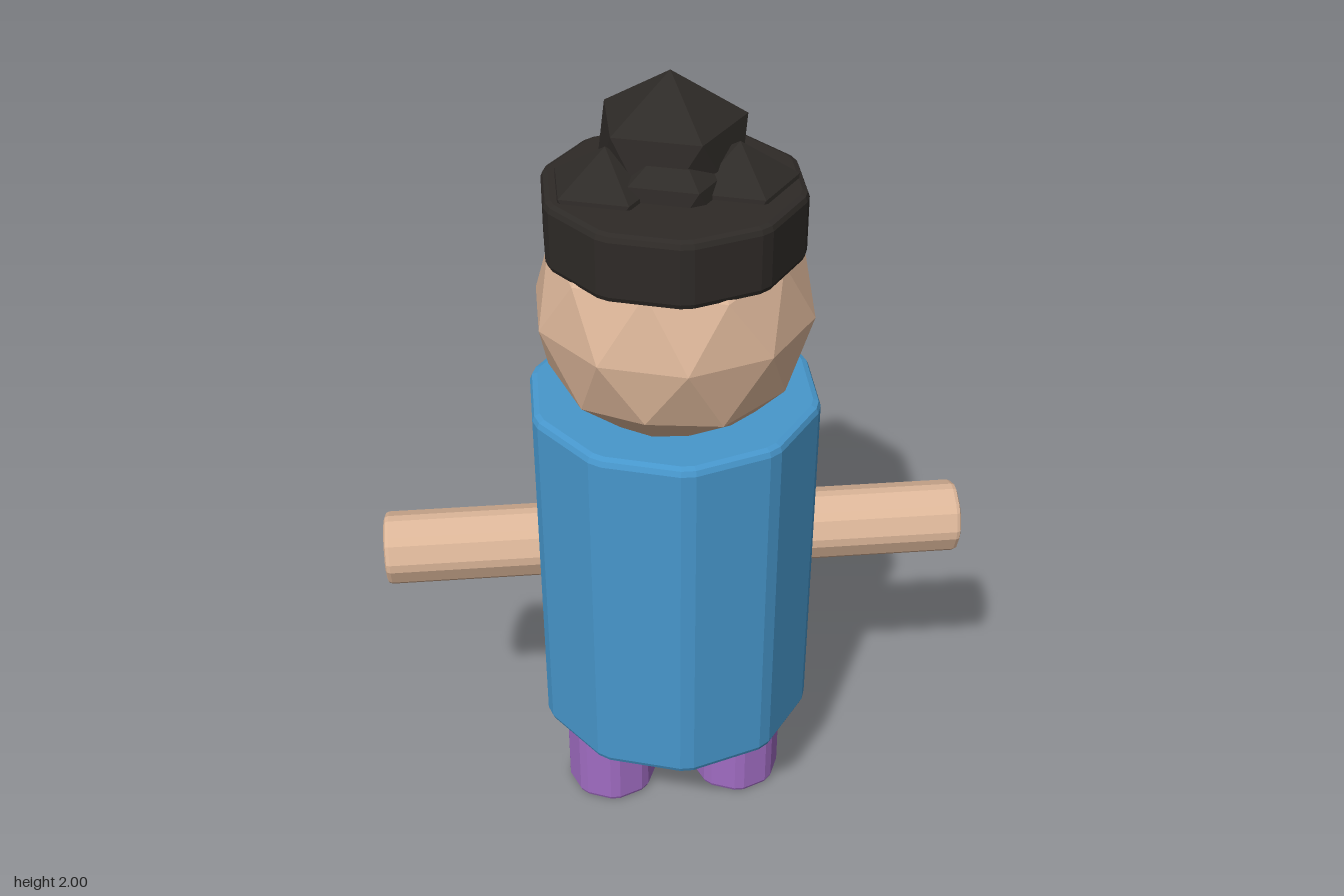
import * as THREE from 'three';

const SKIN = 0xdcb699, SHIRT = 0x4797cc, TROUSERS = 0xa06cc2, HAIR = 0x2e2a27;

function part(name, geometry, color, x = 0, y = 0, z = 0) {
  const mesh = new THREE.Mesh(geometry, new THREE.MeshStandardMaterial({ color, flatShading: true }));
  mesh.name = name;
  mesh.position.set(x, y, z);
  return mesh;
}

// Upright prism with bevelled rims and chamfered corners, standing on y = 0
function prism(sides, r, height, bevel) {
  const corner = (i) => {
    const a = (i / sides) * Math.PI * 2;
    return new THREE.Vector2(Math.sin(a) * r, Math.cos(a) * r);
  };
  const t = bevel / (2 * r * Math.sin(Math.PI / sides));
  const points = [];
  for (let i = sides; i > 0; i--) {
    points.push(corner(i).lerp(corner(i + 1), t), corner(i).lerp(corner(i - 1), t));
  }
  const geo = new THREE.ExtrudeGeometry(new THREE.Shape(points), {
    depth: height - 2 * bevel, bevelEnabled: true, bevelSize: bevel,
    bevelThickness: bevel, bevelOffset: -bevel, bevelSegments: 2,
  });
  geo.translate(0, 0, bevel);
  geo.rotateX(-Math.PI / 2);
  return geo;
}

// Faceted ball with a vertex at its top and an upper-ring vertex towards +x
function facetedBall(r, detail) {
  const geo = new THREE.IcosahedronGeometry(r, detail);
  geo.rotateX(-Math.atan((1 + Math.sqrt(5)) / 2));
  geo.rotateY(Math.PI / 2);
  return geo;
}

export function createModel() {
  const model = new THREE.Group();
  model.name = 'blockFigure';

  // Torso and head
  model.add(part('torso', prism(10, 0.352, 0.93, 0.018), SHIRT, 0, 0.32, 0));
  model.add(part('head', facetedBall(0.325, 1), SKIN, 0, 1.475, 0));

  // Arms and legs
  for (const [side, s] of [['left', 1], ['right', -1]]) {
    const arm = part(side + 'Arm', prism(8, 0.093, 0.46, 0.012), SKIN, s * 0.25, 0.82, 0);
    arm.rotation.z = -s * Math.PI / 2;
    model.add(arm);
    model.add(part(side + 'Leg', prism(8, 0.122, 0.4, 0.014), TROUSERS, s * 0.168, 0, 0));
  }

  // Hair: a band around the crown, a bun and small tufts
  const hair = new THREE.Group();
  hair.name = 'hair';
  hair.add(part('hairBand', prism(10, 0.301, 0.16, 0.016), HAIR, 0, 1.62, 0));
  hair.add(part('bun', facetedBall(0.19, 0), HAIR, 0, 1.81, -0.073));
  hair.add(part('leftTuft', facetedBall(0.147, 0), HAIR, 0.142, 1.723, 0.015));
  hair.add(part('rightTuft', facetedBall(0.147, 0), HAIR, -0.148, 1.723, 0.015));
  hair.add(part('middleTuft', facetedBall(0.147, 0), HAIR, 0, 1.745, 0.015));
  model.add(hair);

  return model;
}
